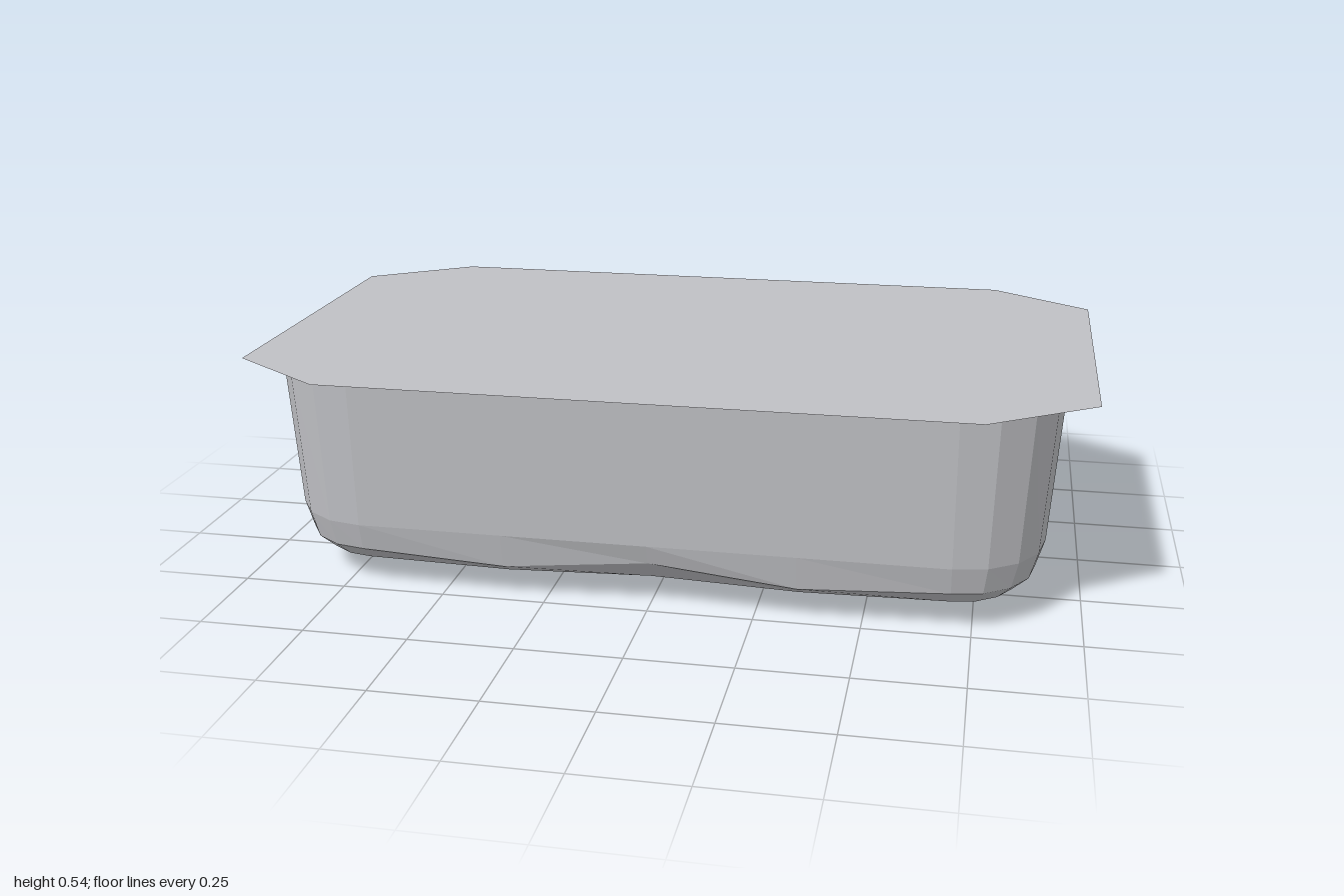
import * as THREE from 'three';

const CX = 0.70, CZ = 0.29; // centres of the rounded corners

// One outline of the basin: rounded corners joined by sides with three inner points.
// wave lifts the middle of each side and lowers its quarter points.
function outline(hx, hz, y, wave = 0) {
  const points = [];
  const signs = [[1, 1], [-1, 1], [-1, -1], [1, -1]];
  const arcSteps = 4;
  const corner = (k, a) => new THREE.Vector3(
    signs[k][0] * CX + Math.cos(a) * (hx - CX), y,
    signs[k][1] * CZ + Math.sin(a) * (hz - CZ));
  for (let k = 0; k < 4; k++) {
    for (let i = 0; i <= arcSteps; i++) {
      points.push(corner(k, (k + i / arcSteps) * Math.PI / 2));
    }
    const from = corner(k, (k + 1) * Math.PI / 2);
    const to = corner((k + 1) % 4, (k + 1) * Math.PI / 2);
    for (const [t, lift] of [[0.25, -1], [0.5, 1], [0.75, -1]]) {
      const p = from.clone().lerp(to, t);
      p.y += lift * wave;
      points.push(p);
    }
  }
  return points;
}

// Skin a stack of outlines from top to bottom, closing on a centre point if given.
function loft(rings, centre) {
  const positions = [];
  const triangle = (...corners) => corners.forEach((p) => positions.push(p.x, p.y, p.z));
  const n = rings[0].length;
  for (let r = 0; r < rings.length - 1; r++) {
    for (let i = 0; i < n; i++) {
      const j = (i + 1) % n;
      const [a, b, c, d] = [rings[r][i], rings[r][j], rings[r + 1][j], rings[r + 1][i]];
      triangle(a, b, d);
      triangle(b, c, d);
    }
  }
  if (centre) {
    const last = rings[rings.length - 1];
    for (let i = 0; i < n; i++) triangle(last[i], last[(i + 1) % n], centre);
  }
  const geometry = new THREE.BufferGeometry();
  geometry.setAttribute('position', new THREE.Float32BufferAttribute(positions, 3));
  geometry.computeVertexNormals();
  return geometry;
}

export function createModel() {
  const group = new THREE.Group();
  group.name = 'coveredBasin';
  const steel = new THREE.MeshStandardMaterial({
    color: 0xc0c1c5, flatShading: true, side: THREE.DoubleSide,
  });
  steel.name = 'steel';

  const add = (name, geometry) => {
    const mesh = new THREE.Mesh(geometry, steel);
    mesh.name = name;
    group.add(mesh);
    return mesh;
  };

  // Flat top plate with clipped corners
  const plate = new THREE.Shape([
    [1, 0.425], [0.755, 0.597], [-0.755, 0.597], [-1, 0.425],
    [-1, -0.425], [-0.755, -0.597], [0.755, -0.597], [1, -0.425],
  ].map(([x, z]) => new THREE.Vector2(x, z)));
  add('topPlate', new THREE.ShapeGeometry(plate).rotateX(-Math.PI / 2).translate(0, 0.54, 0));

  // Narrow lip under the plate
  add('rim', loft([outline(0.937, 0.532, 0.539), outline(0.937, 0.532, 0.531),
    outline(0.93, 0.526, 0.529)]));

  // Tapered walls
  add('walls', loft([outline(0.932, 0.528, 0.535), outline(0.907, 0.505, 0.165)]));

  // Rounded, faceted lower edge and shallow sloping floor
  add('floor', loft([
    outline(0.907, 0.505, 0.165),
    outline(0.887, 0.488, 0.098, 0.018),
    outline(0.847, 0.445, 0.06, 0.006),
    outline(0.78, 0.385, 0.042),
  ], new THREE.Vector3(0, 0.018, 0)));

  // Stepped drain under the middle
  const drainProfile = [[0.155, 0.024], [0.15, 0.012], [0.115, 0.008], [0.1, 0], [0, 0]];
  add('drain', new THREE.LatheGeometry(
    drainProfile.map(([r, y]) => new THREE.Vector2(r, y)).reverse(), 16));

  return group;
}
